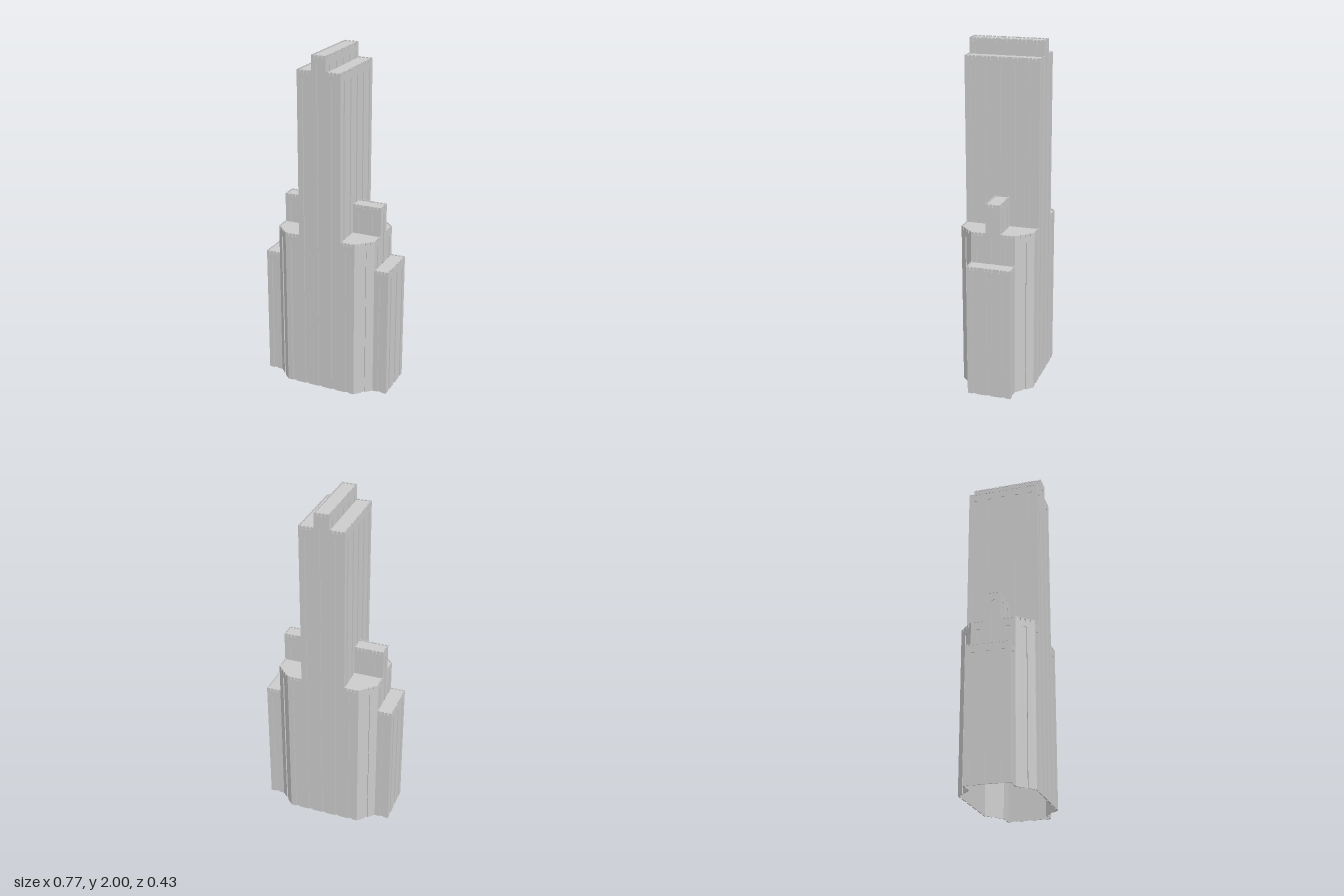
import * as THREE from 'three';

const BAY = 0.086;        // width of one facade bay
const T = 0.006;          // facade relief depth
const ROOF_DROP = 0.006;  // roof level below the parapet top
// plan grid lines: half, one-and-a-half, two-and-a-half ... bays
const A = BAY * 0.5, B = BAY * 1.5, C = BAY * 2.5, D = BAY * 3.5, E = BAY * 4.5;
// parapet heights
const WING = 0.785, SHOULDER = 0.96, FIN = 1.13, TOWER = 1.915, CREST = 2;

const material = new THREE.MeshStandardMaterial({ color: 0xcccccc, side: THREE.DoubleSide, flatShading: true });

// elevation of one bay: a tall slot open at the foot, three notches in the parapet
function bayShape(w, h) {
  const s = 0.011, slotTop = h - 0.05, n = 0.004;
  const shape = new THREE.Shape();
  shape.moveTo(-w / 2, 0);
  shape.lineTo(-s, 0);
  shape.lineTo(-s, slotTop);
  shape.lineTo(s, slotTop);
  shape.lineTo(s, 0);
  shape.lineTo(w / 2, 0);
  shape.lineTo(w / 2, h);
  for (const c of [w / 4, 0, -w / 4]) {
    shape.lineTo(c + n, h);
    shape.lineTo(c + n, h - 0.018);
    shape.lineTo(c - n, h - 0.018);
    shape.lineTo(c - n, h);
  }
  shape.lineTo(-w / 2, h);
  return shape;
}

// one bay between two plan points, left to right as seen from outside
function bay(name, x0, z0, x1, z1, y0, y1) {
  const w = Math.hypot(x1 - x0, z1 - z0), h = y1 - y0;
  const group = new THREE.Group();
  group.name = name;
  const relief = new THREE.ExtrudeGeometry(bayShape(w, h), { depth: T, bevelEnabled: false });
  const front = new THREE.Mesh(relief.translate(0, 0, -T), material);
  front.name = 'facadeRelief';
  const ph = h - ROOF_DROP;
  const back = new THREE.Mesh(new THREE.PlaneGeometry(w, ph).translate(0, ph / 2, -T - 0.0004), material);
  back.name = 'slotBack';
  group.add(front, back);
  group.position.set((x0 + x1) / 2, y0, (z0 + z1) / 2);
  group.rotation.y = Math.atan2(z0 - z1, x1 - x0);
  return group;
}

// a straight wall, split into one bay per entry of tops
function wall(name, x0, z0, x1, z1, bottoms, tops) {
  const group = new THREE.Group();
  group.name = name;
  const n = tops.length;
  const at = (a, b, i) => a + (b - a) * i / n;
  tops.forEach((top, i) => group.add(bay(name + 'Bay',
    at(x0, x1, i), at(z0, z1, i), at(x0, x1, i + 1), at(z0, z1, i + 1), bottoms[i] ?? 0, top)));
  return group;
}

// flat roof from plan points
function roof(name, points, top) {
  const shape = new THREE.Shape(points.map(([x, z]) => new THREE.Vector2(x, -z)));
  const mesh = new THREE.Mesh(new THREE.ShapeGeometry(shape).rotateX(-Math.PI / 2), material);
  mesh.position.y = top - ROOF_DROP;
  mesh.name = name;
  return mesh;
}
const rect = (x0, x1, z) => [[x0, -z], [x1, -z], [x1, z], [x0, z]];

// front face plus everything on the +x side; turned half round it completes the tower
function halfTower(name) {
  const g = new THREE.Group();
  g.name = name;
  const fill = (v, n) => Array(n).fill(v);

  // main face, stepping up to the crest
  g.add(wall('mainFace', -C, C, C, C, [], [SHOULDER, TOWER, CREST, TOWER, SHOULDER]));

  // chamfered corners
  g.add(wall('chamferFront', C, C, D, B, [], [SHOULDER]));
  g.add(wall('chamferBack', D, -B, C, -C, [], [SHOULDER]));

  // low side wing
  g.add(wall('wingFront', D, B, E, B, [], [WING]));
  g.add(wall('wingSide', E, B, E, -B, [], fill(WING, 3)));
  g.add(wall('wingBack', E, -B, D, -B, [], [WING]));
  g.add(roof('wingRoof', rect(D, E, B), WING));

  // shoulder end wall above the wing, with the fin rising in its middle
  g.add(wall('shoulderSide', D, B, D, -B, fill(WING - ROOF_DROP, 3), [SHOULDER, FIN, SHOULDER]));
  for (const s of [1, -1])
    g.add(roof('shoulderRoof', [[B, A], [D, A], [D, B], [C, C], [B, C]].map(([x, z]) => [x, z * s]), SHOULDER));

  // fin between the shoulders
  const finBase = fill(SHOULDER - ROOF_DROP, 2);
  g.add(wall('finFront', B, A, D, A, finBase, fill(FIN, 2)));
  g.add(wall('finBack', D, -A, B, -A, finBase, fill(FIN, 2)));
  g.add(roof('finRoof', rect(B, D, A), FIN));

  // tower shaft side and its roof terrace
  const s = SHOULDER - ROOF_DROP;
  g.add(wall('towerSide', B, C, B, -C, [s, s, FIN - ROOF_DROP, s, s], fill(TOWER, 5)));
  g.add(roof('towerRoof', rect(A, B, C), TOWER));

  // crest along the top
  g.add(wall('crestSide', A, C, A, -C, fill(TOWER - ROOF_DROP, 5), fill(CREST, 5)));
  g.add(roof('crestRoof', rect(0, A, C), CREST));
  return g;
}

export function createModel() {
  const model = new THREE.Group();
  model.name = 'steppedTower';
  const left = halfTower('leftHalf');
  const right = halfTower('rightHalf');
  right.rotation.y = Math.PI;
  model.add(left, right);
  return model;
}
